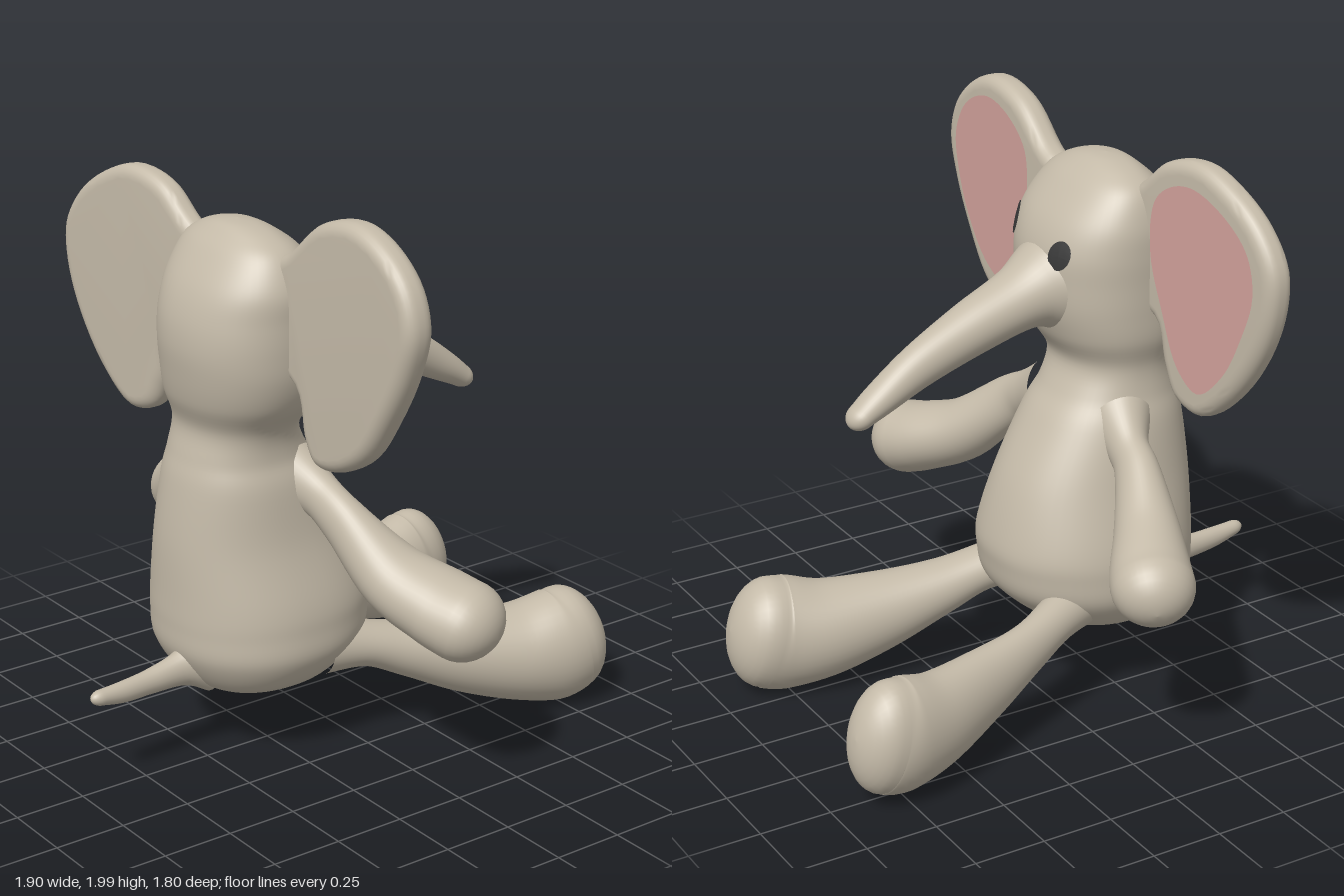
import * as THREE from 'three';
import { toCreasedNormals } from 'three/addons/utils/BufferGeometryUtils.js';

const mat = (name, color) => {
  const m = new THREE.MeshStandardMaterial({ color });
  m.name = name;
  return m;
};

// Catmull-Rom blend of a list of number rows, u from 0 to rows.length - 1
function blend(rows, u) {
  const i = Math.min(Math.floor(u), rows.length - 2), f = u - i;
  const at = k => rows[Math.max(0, Math.min(rows.length - 1, k))];
  return rows[i].map((p1, d) => {
    const p0 = at(i - 1)[d], p2 = at(i + 1)[d], p3 = at(i + 2)[d];
    return p1 + 0.5 * f * (p2 - p0 + f * (2 * p0 - 5 * p1 + 4 * p2 - p3 + f * (3 * (p1 - p2) + p3 - p0)));
  });
}

// Skin over rows [x, y, z, radius along ref, radius across], with an optional rounded end cap
function loft(rows, ref, { cap = 0, axis = null, power = 2, sides = 40, steps = 6 } = {}) {
  const rings = [], total = (rows.length - 1) * steps;
  for (let s = 0; s <= total; s++) {
    const u = s / steps;
    const [x, y, z, ra, rb] = blend(rows, u);
    const a = blend(rows, Math.max(0, u - 0.05)), b = blend(rows, Math.min(rows.length - 1, u + 0.05));
    const t = axis ? axis.clone() : new THREE.Vector3(b[0] - a[0], b[1] - a[1], b[2] - a[2]).normalize();
    rings.push({ c: new THREE.Vector3(x, y, z), t, ra: Math.max(ra, 0.0005), rb: Math.max(rb, 0.0005) });
  }
  const end = rings[rings.length - 1];
  for (let k = 1; cap && k <= 8; k++) {
    const q = k / 8 * Math.PI / 2, r = Math.max(Math.cos(q), 0.002);
    rings.push({ c: end.c.clone().addScaledVector(end.t, cap * Math.sin(q)), t: end.t, ra: end.ra * r, rb: end.rb * r });
  }
  const pos = [], index = [];
  const round = v => Math.sign(v) * Math.pow(Math.abs(v), 2 / power);
  rings.forEach(({ c, t, ra, rb }, i) => {
    const n = ref.clone().addScaledVector(t, -ref.dot(t)).normalize();
    const b = t.clone().cross(n);
    for (let j = 0; j < sides; j++) {
      const q = j / sides * Math.PI * 2;
      const p = c.clone().addScaledVector(n, ra * round(Math.cos(q))).addScaledVector(b, rb * round(Math.sin(q)));
      pos.push(p.x, p.y, p.z);
      if (i < rings.length - 1) {
        const k = (j + 1) % sides, A = i * sides, B = A + sides;
        index.push(A + j, A + k, B + k, A + j, B + k, B + j);
      }
    }
  });
  const g = new THREE.BufferGeometry();
  g.setAttribute('position', new THREE.Float32BufferAttribute(pos, 3));
  g.setIndex(index);
  g.computeVertexNormals();
  return g;
}

// Smooth closed shape through [z, y] points, mirrored so it can be turned to face +x
function outline(points) {
  const curve = new THREE.CatmullRomCurve3(points.map(([z, y]) => new THREE.Vector3(-z, y, 0)), true);
  return new THREE.Shape(curve.getPoints(72).slice(0, -1).map(p => new THREE.Vector2(p.x, p.y)));
}

// Turn a flat geometry to face +x at x0, swept back by slope along z
function faceFront(g, x0, slope) {
  g.rotateY(Math.PI / 2);
  const p = g.attributes.position;
  for (let i = 0; i < p.count; i++) p.setX(i, p.getX(i) + x0 + slope * p.getZ(i));
  g.computeVertexNormals();
  return g;
}

export function createModel() {
  const group = new THREE.Group();
  const plush = mat('warm grey plush', 0xc4baa8);
  const pink = mat('ear pink', 0xd2a19b);
  const dark = mat('eye charcoal', 0x383838);
  dark.side = pink.side = THREE.DoubleSide;
  const X = new THREE.Vector3(1, 0, 0), Y = new THREE.Vector3(0, 1, 0);
  const add = (name, geo, m = plush) => {
    const mesh = new THREE.Mesh(geo, m);
    mesh.name = name;
    group.add(mesh);
    return mesh;
  };

  // Body and head in one skin: y, back x, front x, left z, right z
  const bodyRows = [
    [0.205, -0.3, -0.3, -0.07, -0.07], [0.215, -0.37, -0.22, 0.02, -0.15], [0.25, -0.46, -0.11, 0.12, -0.25],
    [0.3, -0.53, 0, 0.21, -0.34], [0.4, -0.59, 0.11, 0.275, -0.41], [0.5, -0.6, 0.14, 0.28, -0.42],
    [0.6, -0.6, 0.14, 0.27, -0.41], [0.8, -0.595, 0.08, 0.22, -0.36], [1, -0.57, -0.03, 0.195, -0.32],
    [1.1, -0.545, -0.1, 0.17, -0.29], [1.2, -0.525, -0.14, 0.18, -0.28], [1.3, -0.56, -0.09, 0.245, -0.305],
    [1.4, -0.58, -0.055, 0.28, -0.31], [1.5, -0.59, -0.045, 0.29, -0.31], [1.6, -0.58, -0.05, 0.29, -0.31],
    [1.7, -0.545, -0.09, 0.285, -0.3], [1.8, -0.48, -0.17, 0.235, -0.26], [1.85, -0.43, -0.23, 0.16, -0.19],
    [1.877, -0.39, -0.28, 0.07, -0.1], [1.885, -0.335, -0.335, -0.02, -0.02],
  ].map(([y, x0, x1, z1, z0]) => [(x0 + x1) / 2, y, (z0 + z1) / 2, (x1 - x0) / 2, (z1 - z0) / 2]);
  const body = add('bodyAndHead', loft(bodyRows, X, { axis: Y, power: 2.2, sides: 56 }));

  // Trunk
  add('trunk', loft([
    [-0.16, 1.47, -0.025, 0.2, 0.2], [-0.07, 1.455, -0.025, 0.15, 0.15], [0.02, 1.43, -0.03, 0.108, 0.115],
    [0.2, 1.365, -0.035, 0.092, 0.092], [0.4, 1.28, -0.045, 0.075, 0.07], [0.55, 1.195, -0.05, 0.055, 0.062],
    [0.62, 1.15, -0.05, 0.042, 0.055],
  ], Y, { cap: 0.055 }));

  // Tail
  add('tail', loft([
    [-0.5, 0.36, -0.04, 0.12, 0.1], [-0.58, 0.35, -0.035, 0.065, 0.05], [-0.7, 0.338, -0.03, 0.045, 0.037],
    [-0.82, 0.338, -0.015, 0.038, 0.032], [-0.91, 0.347, -0.005, 0.028, 0.027],
  ], Y, { cap: 0.045, sides: 20 }));

  // Legs
  add('leftLeg', loft([
    [-0.12, 0.38, 0.15, 0.1, 0.1], [0.04, 0.355, 0.18, 0.08, 0.09], [0.2, 0.305, 0.21, 0.1, 0.105],
    [0.4, 0.25, 0.255, 0.14, 0.135], [0.6, 0.215, 0.3, 0.175, 0.165], [0.74, 0.215, 0.34, 0.205, 0.17],
    [0.81, 0.23, 0.35, 0.2, 0.165],
  ], Y, { cap: 0.13 }));
  add('rightLeg', loft([
    [-0.12, 0.39, -0.24, 0.1, 0.1], [0.04, 0.37, -0.32, 0.08, 0.075], [0.2, 0.325, -0.385, 0.095, 0.07],
    [0.4, 0.27, -0.435, 0.135, 0.095], [0.6, 0.235, -0.49, 0.17, 0.125], [0.74, 0.235, -0.52, 0.2, 0.138],
    [0.81, 0.25, -0.53, 0.195, 0.13],
  ], Y, { cap: 0.12 }));

  // Arms
  add('leftArm', loft([
    [-0.2, 1.0, 0.1, 0.11, 0.13], [-0.18, 0.965, 0.21, 0.07, 0.085], [-0.16, 0.9, 0.32, 0.073, 0.09],
    [-0.09, 0.745, 0.5, 0.125, 0.112], [-0.02, 0.675, 0.65, 0.15, 0.125], [0.015, 0.645, 0.74, 0.15, 0.132],
  ], X, { cap: 0.13 }));
  add('rightArm', loft([
    [-0.26, 1.0, -0.24, 0.11, 0.13], [-0.23, 0.95, -0.34, 0.07, 0.085], [-0.21, 0.895, -0.43, 0.075, 0.09],
    [-0.15, 0.765, -0.58, 0.11, 0.112], [-0.08, 0.69, -0.71, 0.135, 0.125], [-0.05, 0.665, -0.77, 0.14, 0.13],
  ], X, { cap: 0.13 }));

  // Ears with pink inner faces
  const ears = [
    { side: 'left', x: -0.3, slope: 0, half: 0.055,
      rim: [[0.18, 1.78], [0.27, 1.84], [0.42, 1.96], [0.6, 2], [0.75, 1.95], [0.86, 1.85], [0.9, 1.72], [0.86, 1.57],
        [0.77, 1.4], [0.65, 1.24], [0.5, 1.16], [0.4, 1.16], [0.345, 1.24], [0.31, 1.38], [0.2, 1.46]],
      inner: [[0.35, 1.8], [0.45, 1.89], [0.6, 1.93], [0.75, 1.87], [0.825, 1.74], [0.8, 1.59], [0.74, 1.46],
        [0.62, 1.32], [0.48, 1.27], [0.41, 1.36], [0.36, 1.5], [0.335, 1.65]] },
    { side: 'right', x: -0.337, slope: 0.11, half: 0.048,
      rim: [[-0.18, 1.78], [-0.26, 1.86], [-0.36, 1.94], [-0.52, 1.97], [-0.67, 1.92], [-0.8, 1.83], [-0.88, 1.71],
        [-0.885, 1.58], [-0.83, 1.41], [-0.7, 1.22], [-0.55, 1.11], [-0.43, 1.14], [-0.37, 1.25], [-0.33, 1.38], [-0.2, 1.45]],
      inner: [[-0.33, 1.8], [-0.41, 1.87], [-0.52, 1.89], [-0.68, 1.83], [-0.78, 1.74], [-0.81, 1.61], [-0.76, 1.45],
        [-0.68, 1.3], [-0.56, 1.2], [-0.46, 1.26], [-0.38, 1.43], [-0.315, 1.62]] },
  ];
  for (const { side, x, slope, half, rim, inner } of ears) {
    const slab = new THREE.ExtrudeGeometry(outline(rim), {
      depth: 0.02, bevelThickness: half - 0.01, bevelSize: 0.045, bevelOffset: -0.045, bevelSegments: 6,
    }).translate(0, 0, -0.01);
    add(side + 'Ear', toCreasedNormals(faceFront(slab, x, slope), 0.7));
    add(side + 'EarInner', faceFront(new THREE.ShapeGeometry(outline(inner)), x + half + 0.004, slope), pink);
  }

  // Eyes: oval patches laid on the face
  const ray = new THREE.Raycaster();
  body.updateMatrixWorld();
  for (const [name, z, y, w, h, tilt] of [['leftEye', 0.167, 1.643, 0.04, 0.053, 0.5], ['rightEye', -0.15, 1.603, 0.041, 0.05, -0.2]]) {
    const g = new THREE.RingGeometry(0.001, 1, 24, 4).scale(w, h, 1).rotateZ(tilt).rotateY(Math.PI / 2).translate(0, y, z);
    const p = g.attributes.position;
    for (let i = 0; i < p.count; i++) {
      ray.set(new THREE.Vector3(2, p.getY(i), p.getZ(i)), new THREE.Vector3(-1, 0, 0));
      const hit = ray.intersectObject(body)[0];
      p.setX(i, (hit ? hit.point.x : -0.1) + 0.007);
    }
    g.computeVertexNormals();
    add(name, g, dark);
  }
  return group;
}
